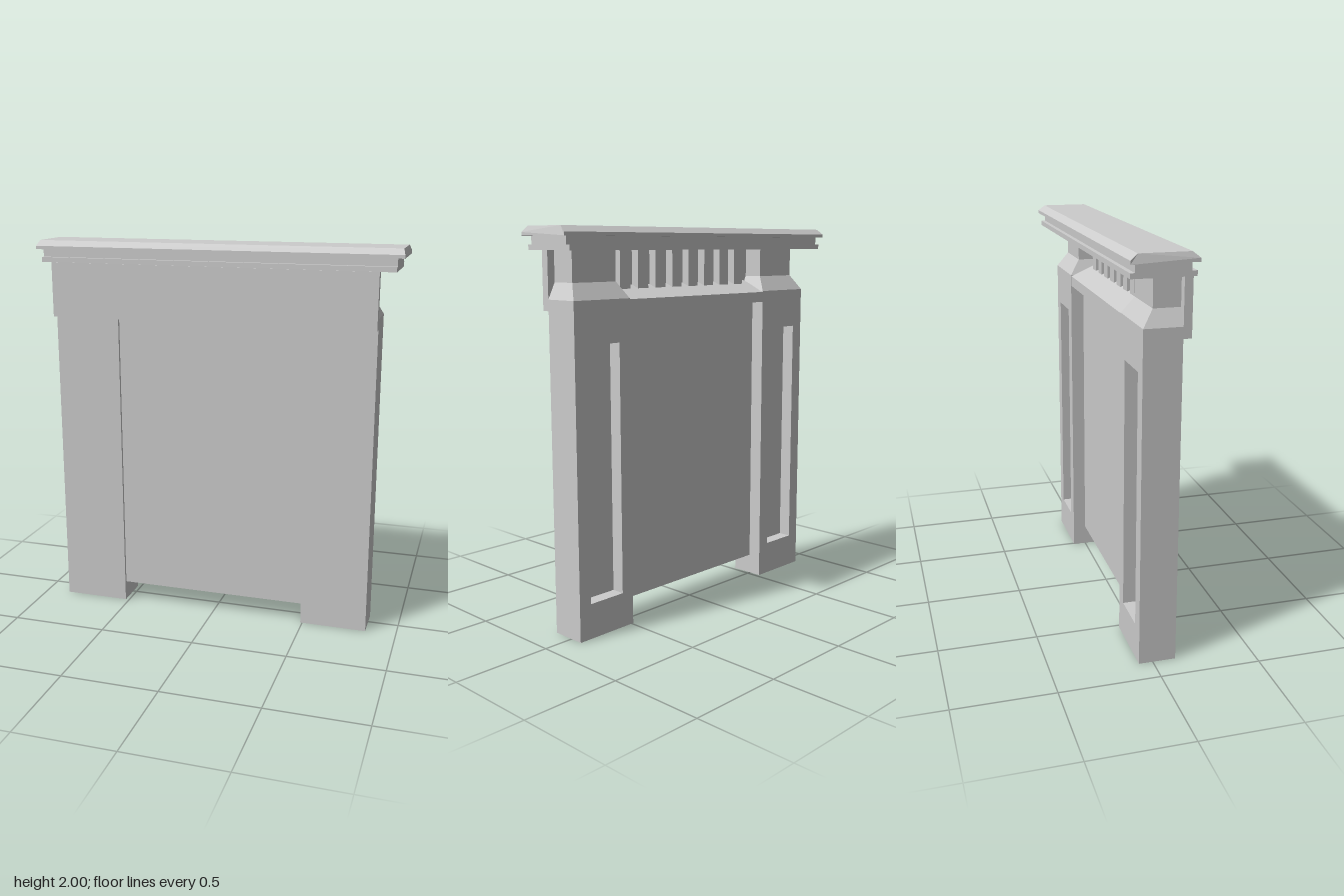
import * as THREE from 'three';

const material = new THREE.MeshStandardMaterial({ color: 0xcccccc, flatShading: true });
const MID = -0.015; // the body sits slightly off the shelf's centre

export function createModel() {
  const model = new THREE.Group();

  function add(name, geometry, parent = model) {
    const mesh = new THREE.Mesh(geometry, material);
    mesh.name = name;
    parent.add(mesh);
    return mesh;
  }

  // Box given by its limits
  function block(name, x0, x1, y0, y1, z0, z1, parent) {
    const g = new THREE.BoxGeometry(x1 - x0, y1 - y0, z1 - z0);
    g.translate((x0 + x1) / 2, (y0 + y1) / 2, (z0 + z1) / 2);
    return add(name, g, parent);
  }

  // Profile of [z, y] points drawn out along x
  function alongX(profile, x0, x1) {
    const shape = new THREE.Shape(profile.map(([z, y]) => new THREE.Vector2(z, y)));
    const g = new THREE.ExtrudeGeometry(shape, { depth: x1 - x0, bevelEnabled: false });
    return g.rotateY(-Math.PI / 2).translate(x1, 0, 0);
  }

  // Posts: sunk panel on the back, tapered shoulder and narrower neck
  for (const side of [-1, 1]) {
    const post = new THREE.Group();
    post.name = side > 0 ? 'leftPost' : 'rightPost';
    post.position.x = MID + side * 0.68;
    model.add(post);

    const outline = new THREE.Shape([
      new THREE.Vector2(-0.175, 0), new THREE.Vector2(0.175, 0),
      new THREE.Vector2(0.175, 1.66), new THREE.Vector2(-0.175, 1.66)]);
    outline.holes.push(new THREE.Path([
      new THREE.Vector2(-0.105, 0.18), new THREE.Vector2(-0.105, 1.45),
      new THREE.Vector2(0.105, 1.45), new THREE.Vector2(0.105, 0.18)]));
    const frame = new THREE.ExtrudeGeometry(outline, { depth: 0.07, bevelEnabled: false });
    add('postPanelFrame', frame.translate(0, 0, -0.07), post);
    block('postCore', -0.175, 0.175, 0, 1.66, 0, 0.115, post);

    const shoulder = new THREE.BoxGeometry(0.35, 0.08, 0.185).translate(0, 1.7, 0.0225);
    const p = shoulder.attributes.position;
    for (let i = 0; i < p.count; i++) {
      if (p.getY(i) < 1.7) continue;
      p.setX(i, Math.sign(p.getX(i)) * 0.135);
      if (p.getZ(i) < 0) p.setZ(i, -0.015);
    }
    shoulder.computeVertexNormals();
    add('postShoulder', shoulder, post);
    block('postNeck', -0.135, 0.135, 1.74, 1.89, -0.015, 0.12, post);
  }

  // Centre panel between the posts, raised off the floor
  block('centrePanel', -0.515, 0.495, 0.11, 1.62, 0.0, 0.112);

  // Rail above the panel with a sloping ledge
  add('rail', alongX([[-0.068, 1.6], [0.115, 1.6], [0.115, 1.72], [0.1, 1.72], [-0.068, 1.655]],
    -0.54, 0.51));

  // Frieze board across the front, with a backing wall for the dentils
  block('friezeBoard', -0.87, 0.84, 1.605, 1.89, 0.115, 0.155);
  block('dentilWall', -0.56, 0.53, 1.7, 1.89, 0.09, 0.116);
  for (let i = 0; i < 8; i++) {
    const x = MID + (i - 3.5) * 0.122;
    block('dentil', x - 0.035, x + 0.035, 1.68, 1.89, 0.045, 0.09);
  }

  // Stepped cornice
  block('lowerMoulding', -0.925, 0.92, 1.89, 1.915, -0.147, 0.152);
  block('upperMoulding', -0.925, 0.92, 1.915, 1.955, -0.125, 0.128);

  // Shelf with bevelled long edges and slightly drawn-in ends
  const shelf = alongX([[-0.155, 1.955], [0.155, 1.955], [0.155, 1.972],
    [0.12, 2], [-0.12, 2], [-0.155, 1.972]], -0.955, 0.955);
  const s = shelf.attributes.position;
  for (let i = 0; i < s.count; i++) {
    if (s.getY(i) > 1.99) s.setX(i, s.getX(i) * 0.99);
  }
  shelf.computeVertexNormals();
  add('shelf', shelf);

  return model;
}
